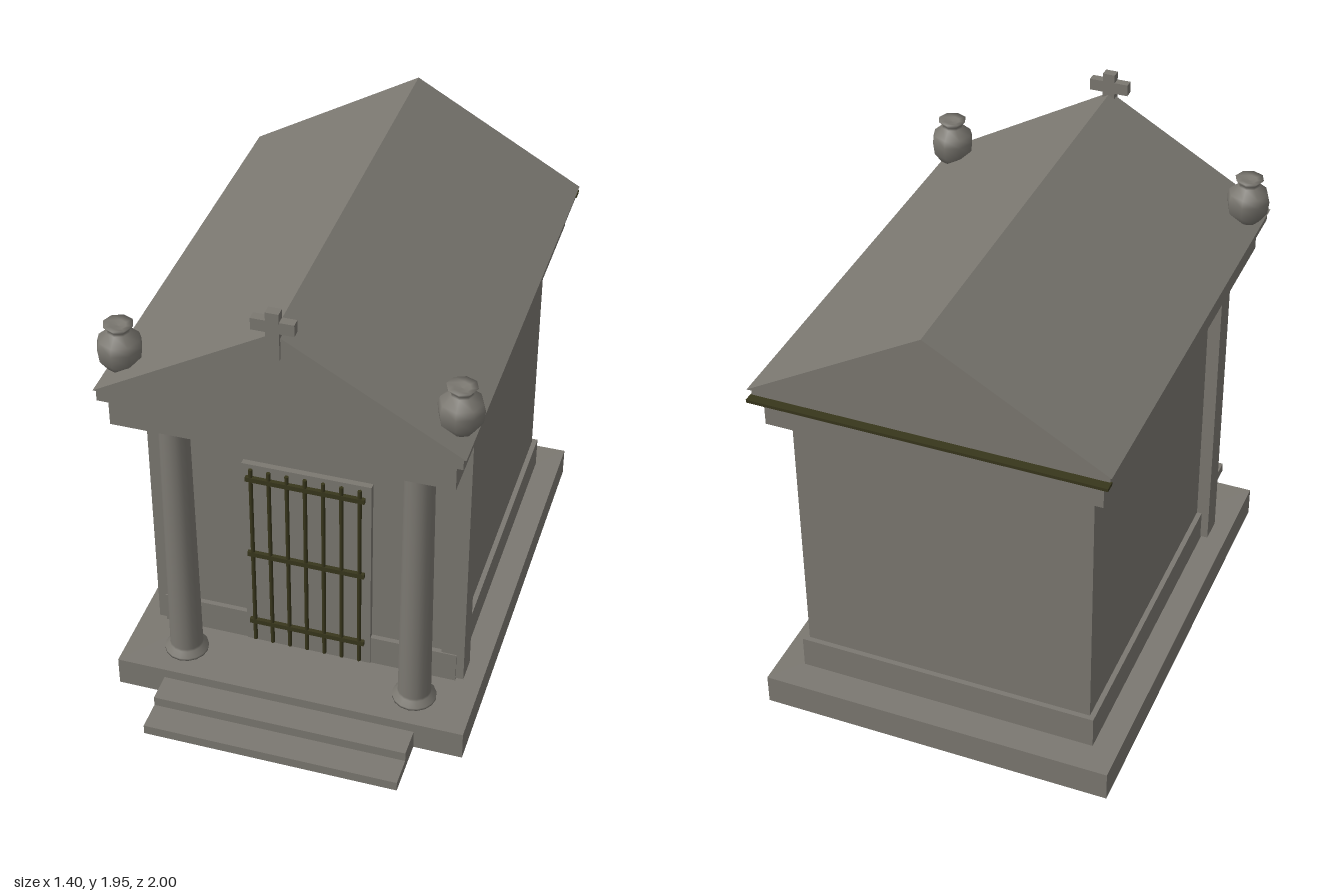
import * as THREE from 'three';

export function createModel() {
  const model = new THREE.Group();
  model.name = 'mausoleum';

  const stone = new THREE.MeshStandardMaterial({ color: 0x7b7871 });
  stone.name = 'grey stone';
  const iron = new THREE.MeshStandardMaterial({ color: 0x38361c });
  iron.name = 'dark iron';

  function add(name, geometry, material = stone, x = 0, y = 0, z = 0) {
    const mesh = new THREE.Mesh(geometry, material);
    mesh.name = name;
    mesh.position.set(x, y, z);
    model.add(mesh);
    return mesh;
  }
  // Box given by its lower and upper limits on each axis
  function box(name, x0, x1, y0, y1, z0, z1, material = stone) {
    return add(name, new THREE.BoxGeometry(x1 - x0, y1 - y0, z1 - z0), material,
      (x0 + x1) / 2, (y0 + y1) / 2, (z0 + z1) / 2);
  }
  function lathe(name, profile, sides, x, z) {
    const points = profile.map(([r, y]) => new THREE.Vector2(r, y));
    return add(name, new THREE.LatheGeometry(points, sides), stone, x, 0, z);
  }

  // Base slab and steps
  box('baseSlab', -0.69, 0.69, 0, 0.12, -1, 0.77);
  box('upperStep', -0.5, 0.5, 0, 0.08, 0.77, 0.885);
  box('lowerStep', -0.5, 0.5, 0, 0.04, 0.77, 1);

  // Chamber walls and plinth
  box('chamber', -0.57, 0.57, 0.12, 1.31, -0.86, 0.48);
  box('plinth', -0.59, 0.59, 0.12, 0.25, -0.88, 0.5);

  // Door panel and blank plaque
  box('doorPanel', -0.25, 0.25, 0.12, 1, 0.47, 0.504);
  box('plaque', -0.305, 0.305, 1.14, 1.255, 0.47, 0.5);

  // Iron gate
  for (let i = -3; i <= 3; i++) {
    add('gateBar', new THREE.CylinderGeometry(0.008, 0.008, 0.85, 6), iron, i * 0.07, 0.565, 0.52);
  }
  for (const y of [0.235, 0.58, 0.945]) {
    box('gateRail', -0.23, 0.23, y - 0.01, y + 0.01, 0.512, 0.528, iron);
  }

  // Pilasters, columns and urns on both sides
  const columnProfile = [
    [0, 0.12], [0.085, 0.12], [0.085, 0.13], [0.066, 0.15], [0.064, 0.16],
    [0.056, 1.27], [0.062, 1.28], [0.085, 1.3], [0.085, 1.31], [0, 1.31],
  ];
  const urnProfile = [
    [0, 1.5], [0.05, 1.5], [0.078, 1.54], [0.084, 1.59], [0.076, 1.62],
    [0.042, 1.65], [0.04, 1.66], [0.056, 1.68], [0.03, 1.675], [0, 1.67],
  ];
  for (const side of [-1, 1]) {
    box('pilaster', side * 0.575 - 0.045, side * 0.575 + 0.045, 0.13, 1.31, 0.395, 0.495);
    lathe('column', columnProfile, 16, side * 0.46, 0.62);
    lathe('urn', urnProfile, 8, side * 0.615, 0.69);
  }

  // Entablature and cornice
  box('entablature', -0.63, 0.63, 1.31, 1.43, -0.94, 0.79);
  box('cornice', -0.66, 0.66, 1.43, 1.475, -0.965, 0.82);
  box('rearMetalStrip', -0.665, 0.665, 1.434, 1.446, -1, -0.96, iron);

  // Gabled roof
  const gable = new THREE.Shape([
    new THREE.Vector2(-0.67, 1.475),
    new THREE.Vector2(0.67, 1.475),
    new THREE.Vector2(0, 1.857),
  ]);
  add('roof', new THREE.ExtrudeGeometry(gable, { depth: 1.805, bevelEnabled: false }), stone, 0, 0, -0.98);

  // Cross on the front gable
  box('crossStem', -0.024, 0.024, 1.76, 1.945, 0.8, 0.836);
  box('crossArm', -0.077, 0.077, 1.866, 1.912, 0.801, 0.835);

  return model;
}
